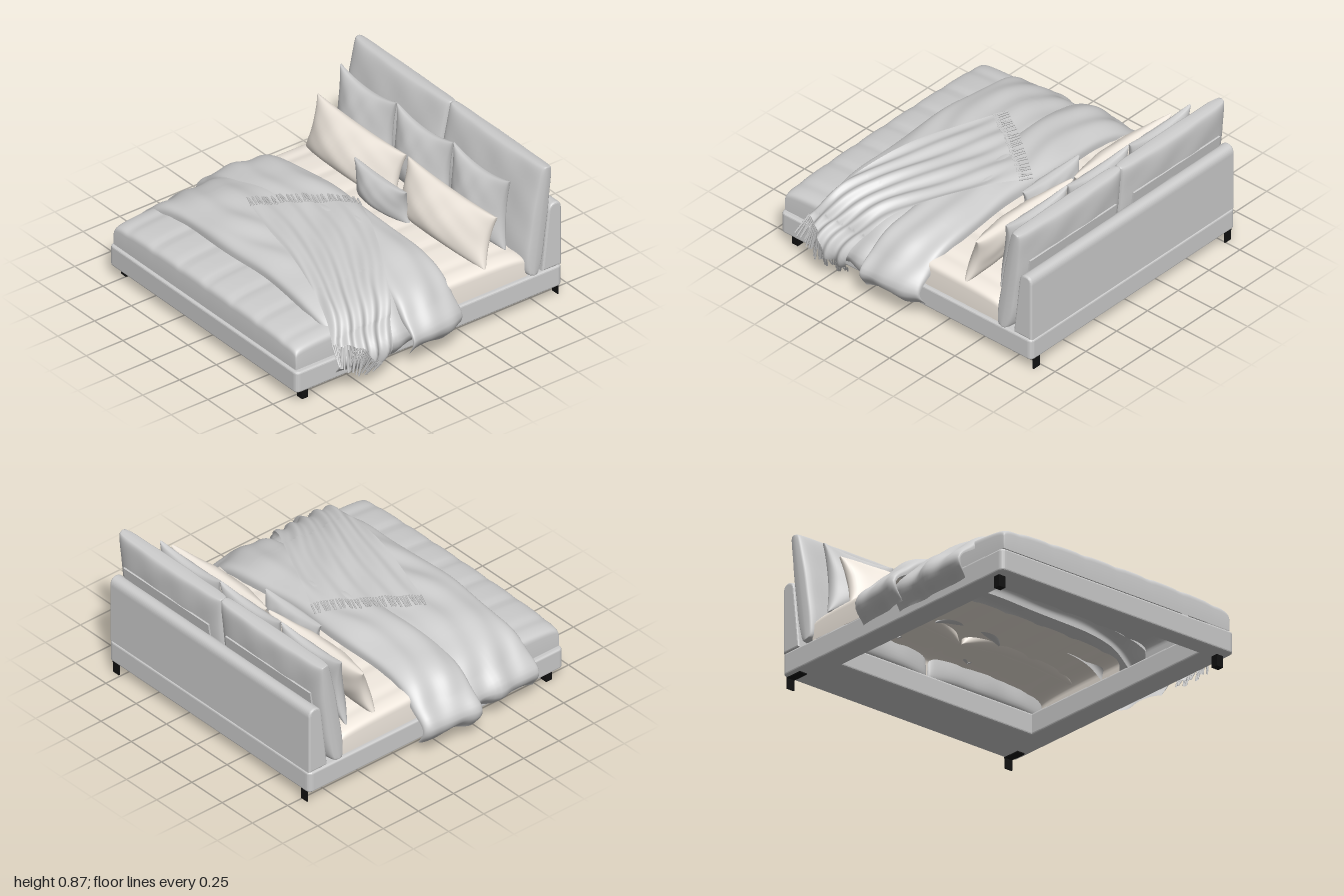
import * as THREE from 'three';
import { mergeGeometries, mergeVertices } from 'three/addons/utils/BufferGeometryUtils.js';
import { ParametricGeometry } from 'three/addons/geometries/ParametricGeometry.js';

const grey = new THREE.MeshStandardMaterial({ color: 0xcccccc });
const greyCloth = new THREE.MeshStandardMaterial({ color: 0xcccccc, side: THREE.DoubleSide });
const cream = new THREE.MeshStandardMaterial({ color: 0xf0e8de, side: THREE.DoubleSide });
const black = new THREE.MeshStandardMaterial({ color: 0x111111 });
const { lerp, smoothstep, clamp } = THREE.MathUtils;

function add(parent, name, geometry, material, x = 0, y = 0, z = 0) {
  const mesh = new THREE.Mesh(geometry, material);
  mesh.name = name;
  mesh.position.set(x, y, z);
  parent.add(mesh);
  return mesh;
}

// Stuffed cushion: a box whose two faces bulge from a thin seam, heavier towards the bottom,
// with the lower corners bent back.
function cushion(w, h, d, fullness, pinchX, pinchY, bend) {
  const g = new THREE.BoxGeometry(2, 2, 2, 28, 28, 1);
  const p = g.attributes.position;
  const seam = 0.005;
  for (let i = 0; i < p.count; i++) {
    const u = Math.sin(p.getX(i) * Math.PI / 2), v = Math.sin(p.getY(i) * Math.PI / 2);
    const dome = Math.pow(Math.max(0, (1 - u * u) * (1 - v * v)), fullness);
    const crease = 1 - 0.18 * v + 0.05 * Math.sin(9 * u + 3 * v) * Math.cos(5 * v - 2 * u);
    p.setXYZ(i,
      u * w / 2 * (1 - pinchX * (1 - v * v)),
      v * h / 2 * (1 - pinchY * (1 - u * u)),
      Math.sign(p.getZ(i)) * (seam + (d / 2 - seam) * dome * crease) - bend * u * u * (1 - v) / 2);
  }
  g.deleteAttribute('normal');
  g.deleteAttribute('uv');
  const merged = mergeVertices(g, 1e-5);
  merged.computeVertexNormals();
  return merged;
}

// Mattress shell: rounded at one end, running open under the bedding at the other.
function mattressShell(halfWidth, zEnd, zOpen) {
  return new ParametricGeometry((u, v, target) => {
    const x = Math.sin((u - 0.5) * Math.PI), e = Math.cos(v * Math.PI / 2);
    const box = Math.pow(Math.max(0, (1 - x * x) * (1 - e * e)), 0.085);
    const quilting = 0.008 * Math.pow(Math.abs(Math.cos(x * 11)), 8);
    target.set(x * halfWidth, 0.205 + (0.187 - quilting) * box, lerp(zOpen, zEnd, e));
  }, 80, 32);
}

function roundedRect(shape, x0, y0, x1, y1, r) {
  shape.moveTo(x0 + r, y0);
  shape.lineTo(x1 - r, y0); shape.quadraticCurveTo(x1, y0, x1, y0 + r);
  shape.lineTo(x1, y1 - r); shape.quadraticCurveTo(x1, y1, x1 - r, y1);
  shape.lineTo(x0 + r, y1); shape.quadraticCurveTo(x0, y1, x0, y1 - r);
  shape.lineTo(x0, y0 + r); shape.quadraticCurveTo(x0, y0, x0 + r, y0);
  return shape;
}

// Cross-section over which the bedding hangs, from the right hem to the left hem.
const half = [[0.3, 0.397], [0.6, 0.375], [0.76, 0.34], [0.86, 0.275], [0.955, 0.2], [0.91, 0.1]];
const drape = new THREE.CatmullRomCurve3([
  ...half.map(([x, y]) => new THREE.Vector3(-x, y, 0)).reverse(),
  new THREE.Vector3(0, 0.4, 0),
  ...half.map(([x, y]) => new THREE.Vector3(x, y, 0)),
]);

// Point at s (-1..1 from hem to hem), at depth z, lifted off the section by off.
function onDrape(s, z, off, k, target) {
  const c = clamp(s, -1, 1);
  const p = drape.getPointAt((c + 1) / 2), t = drape.getTangentAt((c + 1) / 2);
  const over = (s - c) * 1.15;
  const fold = 0.014 * Math.pow(Math.abs(c), 5) * Math.sin(z * 24 + c * 2);
  return target.set((p.x + t.x * over) * k - t.y * (off + fold), p.y + t.y * over + t.x * (off + fold), z);
}
const loft = s => 0.015 + 0.08 * (1 - Math.pow(Math.min(1, Math.abs(s)), 3));

// Quilted layer: a puffy sheet curling down at both edges, flaring from k0 to k1.
function quilt(z0, z1, k0, k1, lift) {
  const zc = (z0 + z1) / 2, hz = (z1 - z0) / 2;
  return new ParametricGeometry((u, v, target) => {
    const s = u * 2 - 1, a = v * Math.PI, sn = Math.max(0, Math.sin(a)), cs = Math.cos(a);
    const along = Math.sign(cs) * Math.pow(Math.abs(cs), 0.8);
    const z = zc + hz * along + 0.008 * Math.sin(s * 9 + zc * 8);
    const thick = loft(s) * (1 - Math.pow(Math.abs(s), 20));
    const ripple = sn * (0.006 * Math.sin(z * 34 + 3 * Math.sin(s * 4)) + 0.004 * Math.sin(s * 17 + z * 9));
    onDrape(s, z, lift + thick * Math.pow(sn, 0.55) + ripple, lerp(k0, k1, (along + 1) / 2), target);
  }, 120, 48);
}

// Throw: l runs from the fringe on top to the fringe at the side, w across the cloth.
function throwPoint(l, w, target) {
  const s = lerp(0.04 - 0.32 * w, 0.96 - 0.14 * w, l);
  const z = lerp(-0.14 + 0.49 * w, 0.36 + 0.32 * w, l) + 0.02 * Math.sin(l * 6) * (w - 0.5);
  const edge = 1 - 0.6 * smoothstep(z, 0.57, 0.68) - 0.35 * (1 - smoothstep(z, -0.18, -0.04));
  const k = lerp(0.98, 0.935, smoothstep(z, 0.12, 0.3));
  const ridge = Math.sin(w * 30 + 2.5 * Math.sin(l * 4)) * (0.004 + 0.008 * Math.max(0, l)) + 0.004 * Math.sin(w * 13 - l * 11);
  return onDrape(s, z, loft(s) * edge + 0.016 + 0.014 * Math.max(0, l) + ridge, k, target);
}

function fringe(l0, l1, count) {
  const strands = [];
  for (let i = 0; i <= count; i++) {
    const w = i / count;
    const a = throwPoint(l0, w, new THREE.Vector3());
    const b = throwPoint(l1, w + 0.015 * Math.sin(i * 2.4), new THREE.Vector3());
    strands.push(new THREE.TubeGeometry(new THREE.LineCurve3(a, b), 1, 0.005, 5));
  }
  return mergeGeometries(strands);
}

export function createModel() {
  const bed = new THREE.Group();
  bed.name = 'bed';

  // The bed itself sits slightly to the left of the bedding's centre
  const base = new THREE.Group();
  base.name = 'base';
  base.position.x = 0.008;
  bed.add(base);

  // Upholstered base: a hollow ring with softened edges
  const ring = roundedRect(new THREE.Shape(), -0.816, -0.893, 0.816, 0.893, 0.02);
  ring.holes.push(roundedRect(new THREE.Path(), -0.69, -0.8, 0.69, 0.6, 0.01));
  const frame = new THREE.ExtrudeGeometry(ring, { depth: 0.106, bevelSize: 0.012, bevelThickness: 0.012, bevelSegments: 3, curveSegments: 5 });
  frame.rotateX(-Math.PI / 2);
  add(base, 'baseFrame', frame, grey, 0, 0.08, 0);
  add(base, 'frontSeam', new THREE.BoxGeometry(0.004, 0.11, 0.004), grey, 0, 0.135, 0.905);

  // Legs: square posts in front, angle brackets behind
  for (const x of [-0.777, 0.777]) {
    add(base, 'frontLeg', new THREE.BoxGeometry(0.045, 0.07, 0.042), black, x, 0.035, 0.825);
    add(base, 'rearLeg', new THREE.BoxGeometry(0.05, 0.064, 0.008), black, x, 0.032, -0.895);
    add(base, 'rearLegPlate', new THREE.BoxGeometry(0.05, 0.008, 0.11), black, x, 0.065, -0.845);
  }

  // Headboard panel with a sloping front
  const side = new THREE.Shape();
  side.moveTo(-0.89, 0.212);
  side.lineTo(-0.785, 0.212);
  side.lineTo(-0.825, 0.56);
  side.quadraticCurveTo(-0.83, 0.598, -0.86, 0.598);
  side.quadraticCurveTo(-0.89, 0.598, -0.89, 0.56);
  const panel = new THREE.ExtrudeGeometry(side, { depth: 1.626, bevelSize: 0.012, bevelThickness: 0.012, bevelSegments: 3 });
  panel.translate(0, 0, -0.813);
  panel.rotateY(-Math.PI / 2);
  add(base, 'headboardPanel', panel, grey);

  // Mattress, bare at the head and covered at the foot
  add(base, 'mattress', mattressShell(0.812, -0.675, -0.02), cream);
  add(base, 'mattressCover', mattressShell(0.805, 0.893, 0.2), greyCloth);

  // Headboard cushions, each with a flat flap on its back
  for (const x of [-0.41, 0.43]) {
    const back = add(bed, 'headboardCushion', cushion(0.84, 0.66, 0.165, 0.2, 0.008, 0.012, 0), grey, x, 0.54, -0.75);
    back.rotation.x = -0.15;
    add(back, 'cushionFlap', new THREE.BoxGeometry(0.7, 0.16, 0.01), grey, 0, 0.07, -0.074);
  }

  // Pillows: name, material, x, y, z, width, height, depth, pinch in x, pinch in y, backward tilt
  const pillows = [];
  for (const x of [-0.518, -0.015, 0.483])
    pillows.push(['squarePillow', grey, x, 0.575, -0.583, 0.495, 0.42, 0.145, 0.13, 0.17, 0.22]);
  for (const x of [-0.385, 0.415])
    pillows.push(['longPillow', cream, x, 0.503, -0.415, 0.78, 0.31, 0.17, 0.08, 0.09, 0.45]);
  pillows.push(['smallPillow', grey, 0.005, 0.48, -0.29, 0.455, 0.205, 0.12, 0.1, 0.13, 0.17]);
  for (const [name, mat, x, y, z, w, h, d, pinchX, pinchY, tilt] of pillows)
    add(bed, name, cushion(w, h, d, 0.45, pinchX, pinchY, 0.06), mat, x, y, z).rotation.x = -tilt;

  // Duvet with its turned-back upper fold
  add(bed, 'duvet', quilt(0.08, 0.648, 0.92, 0.935, 0), greyCloth);
  add(bed, 'duvetFold', quilt(-0.17, 0.205, 0.95, 1, 0.006), greyCloth);

  // Fringed throw laid diagonally
  add(bed, 'throwBlanket', new ParametricGeometry((u, v, t) => throwPoint(u, v, t), 90, 90), greyCloth);
  add(bed, 'topFringe', fringe(0.02, -0.055, 36), greyCloth);
  add(bed, 'sideFringe', fringe(1, 1.07, 36), greyCloth);

  return bed;
}
